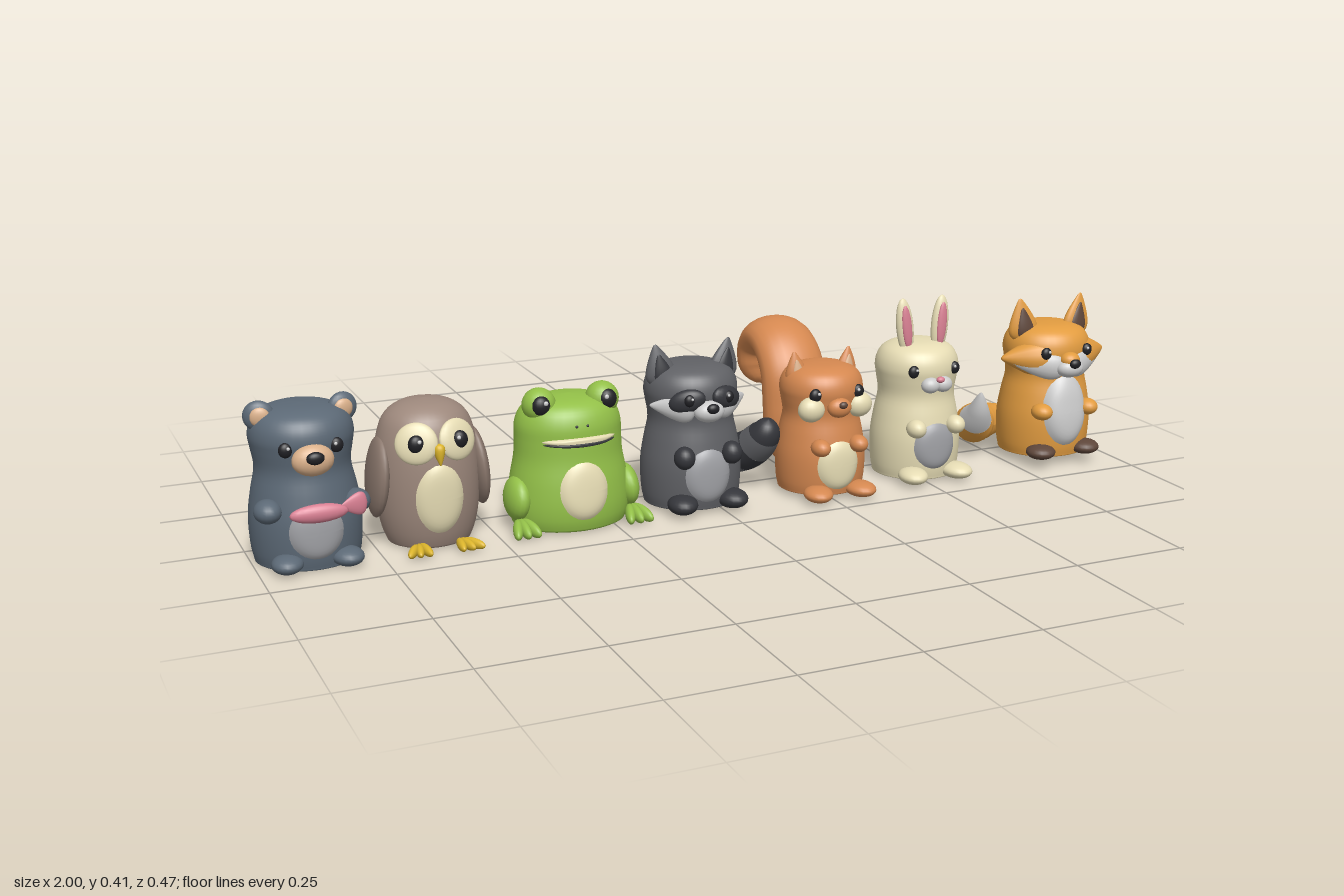
import * as THREE from 'three';

const C = {
  black: 0x202024, white: 0xc9c9c9, cream: 0xe6dcb4, grey: 0x9fa0a4,
  bear: 0x5c6976, tan: 0xdab08a, pink: 0xd87f92, owl: 0x9d887c, wing: 0x8a776c, yellow: 0xdcb52c,
  frog: 0x93c048, raccoon: 0x606165, dark: 0x35363b, squirrel: 0xd58850, fox: 0xe29c40, brown: 0x5e463a,
};
const mat = (color) => new THREE.MeshStandardMaterial({ color, side: THREE.DoubleSide });
const sphere = new THREE.SphereGeometry(1, 20, 14);
const V2 = (a) => a.map(([x, y]) => new THREE.Vector2(x, y));
const V3 = (a) => a.map((p) => new THREE.Vector3(...p));
// Pointed leaf, base at 0 and tip at y = 1
const leaf = new THREE.LatheGeometry(new THREE.SplineCurve(V2([[0, -0.15], [0.75, -0.05], [1, 0.15], [0.85, 0.42], [0.5, 0.72], [0.14, 0.97], [0, 1]])).getPoints(18), 18);

// Bodies are lathes; each row is [radius, height]
const PEAR = [[0, 0], [0.085, 0], [0.097, 0.008], [0.102, 0.05], [0.102, 0.1], [0.095, 0.15], [0.087, 0.195], [0.092, 0.235], [0.095, 0.26], [0.09, 0.285], [0.075, 0.305], [0.045, 0.317], [0, 0.32]];
const EGG = [[0, 0], [0.07, 0], [0.085, 0.012], [0.097, 0.06], [0.102, 0.12], [0.101, 0.18], [0.094, 0.23], [0.078, 0.27], [0.045, 0.293], [0, 0.3]];
const SQUAT = [[0, 0], [0.1, 0], [0.118, 0.012], [0.124, 0.05], [0.12, 0.1], [0.111, 0.15], [0.109, 0.19], [0.107, 0.225], [0.092, 0.255], [0.06, 0.272], [0, 0.278]];

class Animal {
  constructor(name, x, z, color, rows, { sx = 1.06, sy = 1, sz = 1, y = 0 } = {}) {
    Object.assign(this, { sx, sz });
    this.group = new THREE.Group();
    this.group.name = name;
    this.group.position.set(x, 0, z);
    this.pts = new THREE.SplineCurve(V2(rows)).getPoints((rows.length - 1) * 4);
    this.pts.forEach((p) => { p.x = Math.max(p.x, 0); p.y = Math.max(p.y, 0) * sy + y; });
    const body = this.add('body', color, new THREE.LatheGeometry(this.pts, 36));
    body.scale.set(sx, 1, sz);
  }
  add(name, color, geo) {
    const m = new THREE.Mesh(geo, mat(color));
    m.name = name;
    this.group.add(m);
    return m;
  }
  // Depth of the front of the body at (x, y)
  front(x, y) {
    let r = 0;
    for (let i = 1; i < this.pts.length; i++) {
      const a = this.pts[i - 1], b = this.pts[i];
      if (y >= a.y && y <= b.y && b.y > a.y) r = a.x + (b.x - a.x) * (y - a.y) / (b.y - a.y);
    }
    return this.sz * Math.sqrt(Math.max(r * r - (x / this.sx) ** 2, 0));
  }
  // Any shape by position, size and turn; z is measured from the body's front when onFace is set
  part(name, color, geo, p, s, rot = [0, 0, 0], onFace = false) {
    const m = this.add(name, color, geo);
    m.position.set(p[0], p[1], p[2] + (onFace ? this.front(p[0], p[1]) : 0));
    m.scale.set(...s);
    m.rotation.set(...rot, 'YXZ');
  }
  pair(name, color, geo, p, s, rot = [0, 0, 0], onFace = false) {
    for (const k of [1, -1]) {
      this.part((k > 0 ? 'left ' : 'right ') + name, color, geo, [k * p[0], p[1], p[2]], s, [rot[0], k * rot[1], k * rot[2]], onFace);
    }
  }
  face(name, color, p, s) { this.part(name, color, sphere, p, s, [0, 0, 0], true); }
  faces(name, color, p, s, rot) { this.pair(name, color, sphere, p, s, rot, true); }
  // Thin oval marking that follows the body
  patch(name, color, cx, cy, rx, ry, lift = 0.007) {
    const g = new THREE.RingGeometry(0, 1, 36, 8), a = g.attributes.position;
    for (let i = 0; i < a.count; i++) {
      const u = a.getX(i), v = a.getY(i), x = cx + u * rx, y = cy + v * ry;
      a.setXYZ(i, x, y, this.front(x, y) - 0.003 + (lift + 0.003) * (1 - (u * u + v * v) ** 3));
    }
    g.computeVertexNormals();
    this.add(name, color, g);
  }
  feet(color, x, z, s = [0.032, 0.019, 0.038], y = 0.02) {
    this.pair('foot', color, sphere, [x, y, z], s, [0, 0.2, 0]);
  }
  eyes(x, y, r = 0.014, z = 0) {
    this.faces('eye', C.black, [x, y, z], [r, r * 1.1, r * 0.7]);
    this.faces('eye glint', C.white, [x - r * 0.25, y + r * 0.4, z + r * 0.65], [r * 0.25, r * 0.25, r * 0.2]);
  }
}

// Tube along a curve from t0 to t1, its radius set by a rule
function taperedTube(curve, t0, t1, radius, seg = 40) {
  const sub = new THREE.Curve();
  sub.getPoint = (t) => curve.getPointAt(t0 + (t1 - t0) * t);
  const n = 22, g = new THREE.TubeGeometry(sub, seg, 1, n), a = g.attributes.position, v = new THREE.Vector3();
  for (let i = 0; i <= seg; i++) {
    const c = sub.getPointAt(i / seg), r = radius(t0 + (t1 - t0) * i / seg);
    for (let j = 0; j <= n; j++) {
      const k = i * (n + 1) + j;
      v.fromBufferAttribute(a, k).sub(c).multiplyScalar(r).add(c);
      a.setXYZ(k, v.x, v.y, v.z);
    }
  }
  g.computeVertexNormals();
  return g;
}

function bear() {
  const a = new Animal('bear', -0.885, 0.065, C.bear, PEAR, { sx: 1.1, sz: 1.08 });
  a.pair('ear', C.bear, sphere, [0.083, 0.303, 0.01], [0.031, 0.031, 0.016], [0, 0.2, 0]);
  a.pair('inner ear', C.tan, sphere, [0.083, 0.303, 0.021], [0.02, 0.02, 0.009], [0, 0.2, 0]);
  a.face('muzzle', C.tan, [0, 0.228, 0.003], [0.042, 0.032, 0.026]);
  a.face('nose', C.black, [0, 0.238, 0.026], [0.018, 0.013, 0.01]);
  a.eyes(0.05, 0.25);
  a.patch('belly', C.grey, 0, 0.08, 0.058, 0.058);
  a.faces('arm', C.bear, [0.088, 0.125, 0.008], [0.028, 0.024, 0.034]);
  a.face('fish body', C.pink, [0.0, 0.128, 0.024], [0.058, 0.019, 0.014]);
  a.part('fish tail', C.pink, leaf, [0.095, 0.13, 0.105], [0.024, 0.05, 0.008], [0, 0.2, 1.57]);
  a.face('fish eye', C.black, [-0.042, 0.132, 0.035], [0.004, 0.004, 0.004]);
  a.feet(C.bear, 0.06, 0.095);
  return a.group;
}

function owl() {
  const a = new Animal('owl', -0.63, 0.06, C.owl, EGG);
  a.pair('wing', C.wing, sphere, [0.105, 0.145, 0.005], [0.021, 0.085, 0.062], [0, 0, 0.1]);
  a.faces('eye disc', C.cream, [0.042, 0.228, -0.003], [0.044, 0.043, 0.014], [-0.25, 0.4, 0]);
  a.eyes(0.045, 0.23, 0.017, 0.009);
  a.part('beak', C.yellow, leaf, [0, 0.222, 0.098], [0.012, 0.04, 0.014], [-0.25, 0, Math.PI]);
  a.patch('belly', C.cream, 0, 0.11, 0.053, 0.078);
  for (const t of [-1, 0, 1]) a.pair('toe', C.yellow, sphere, [0.05 + t * 0.013, 0.011, 0.108], [0.009, 0.011, 0.032], [0, t * 0.3 + 0.2, 0]);
  return a.group;
}

function frog() {
  const a = new Animal('frog', -0.325, 0.07, C.frog, SQUAT, { sz: 0.86 });
  a.pair('eye bump', C.frog, sphere, [0.07, 0.265, 0.022], [0.036, 0.036, 0.036]);
  a.pair('eye', C.black, sphere, [0.073, 0.268, 0.045], [0.021, 0.022, 0.016]);
  a.pair('eye glint', C.white, sphere, [0.067, 0.276, 0.06], [0.005, 0.005, 0.003]);
  a.patch('upper lip', C.cream, 0, 0.196, 0.085, 0.009, 0.008);
  a.patch('mouth', C.dark, 0, 0.19, 0.083, 0.005, 0.01);
  a.faces('nostril', C.dark, [0.012, 0.228, 0], [0.003, 0.003, 0.003]);
  a.patch('belly', C.cream, 0, 0.09, 0.056, 0.065);
  a.pair('leg', C.frog, sphere, [0.122, 0.068, 0.02], [0.026, 0.046, 0.05], [0.3, 0, 0.1]);
  for (const t of [-1, 0, 1]) a.pair('toe', C.frog, sphere, [0.125 + t * 0.014, 0.017, 0.075], [0.011, 0.015, 0.036], [0.2, t * 0.3, 0]);
  return a.group;
}

function raccoon() {
  const a = new Animal('raccoon', -0.04, 0.065, C.raccoon, PEAR, { sx: 1.08, sz: 1.02, sy: 0.97, y: 0.008 });
  a.pair('ear', C.raccoon, leaf, [0.07, 0.283, 0.01], [0.034, 0.08, 0.017], [0, 0.1, -0.2]);
  a.pair('inner ear', C.dark, leaf, [0.07, 0.285, 0.02], [0.022, 0.058, 0.01], [0, 0.1, -0.2]);
  a.pair('cheek tuft', C.white, leaf, [0.035, 0.232, 0.082], [0.03, 0.088, 0.02], [0, 0.55, -1.5]);
  a.faces('mask', C.dark, [0.045, 0.252, 0], [0.04, 0.025, 0.016], [0, 0.4, -0.25]);
  a.eyes(0.045, 0.256, 0.012, 0.013);
  a.face('muzzle', C.white, [0, 0.228, 0.006], [0.034, 0.023, 0.026]);
  a.face('nose', C.black, [0, 0.239, 0.027], [0.014, 0.011, 0.009]);
  a.patch('belly', C.grey, 0, 0.085, 0.055, 0.062);
  a.faces('hand', C.dark, [0.055, 0.13, 0.009], [0.023, 0.025, 0.024]);
  a.feet(C.dark, 0.058, 0.092, [0.033, 0.021, 0.04], 0.026);
  // Ringed tail curling round to the left
  const path = new THREE.CatmullRomCurve3(V3([[-0.03, 0.06, -0.115], [0.05, 0.06, -0.115], [0.12, 0.065, -0.085], [0.157, 0.09, -0.03], [0.172, 0.135, 0.015], [0.175, 0.172, 0.03]]));
  const r = (t) => 0.044 * Math.sqrt(Math.max(0, 1 - (2 * t - 1) ** 4));
  for (let i = 0; i < 8; i++) a.add('tail ring', i % 2 ? C.dark : C.raccoon, taperedTube(path, i / 8, (i + 1) / 8, r, 10));
  return a.group;
}

function squirrel() {
  const a = new Animal('squirrel', 0.26, 0.1, C.squirrel, PEAR, { sx: 0.98, sz: 0.95, sy: 0.88, y: 0.01 });
  a.pair('ear', C.squirrel, leaf, [0.06, 0.258, 0.0], [0.025, 0.062, 0.015], [0, 0.1, -0.12]);
  a.pair('inner ear', C.tan, leaf, [0.06, 0.26, 0.009], [0.015, 0.044, 0.008], [0, 0.1, -0.12]);
  a.faces('cheek', C.cream, [0.058, 0.205, 0.004], [0.031, 0.028, 0.024]);
  a.face('muzzle', C.squirrel, [0, 0.208, 0.002], [0.028, 0.022, 0.019]);
  a.face('nose', C.brown, [0, 0.218, 0.019], [0.01, 0.008, 0.007]);
  a.eyes(0.052, 0.237, 0.014);
  a.patch('belly', C.cream, 0, 0.078, 0.053, 0.058);
  a.faces('hand', C.squirrel, [0.046, 0.123, 0.01], [0.021, 0.019, 0.026]);
  a.feet(C.squirrel, 0.052, 0.096, [0.032, 0.017, 0.04]);
  // Broad tail arching backwards
  const path = new THREE.CatmullRomCurve3(V3([[0, 0.015, -0.1], [0, 0.08, -0.123], [0, 0.16, -0.127], [0, 0.24, -0.14], [0, 0.29, -0.185], [0, 0.3, -0.24], [0, 0.268, -0.284], [0, 0.22, -0.292], [0, 0.174, -0.272]]));
  const r = (t) => (0.044 + 0.008 * Math.sin(Math.PI * t) - 0.008 * t) * Math.sqrt(Math.max(0, 1 - Math.max(0, (t - 0.88) / 0.12) ** 2)) * Math.min(1, Math.sqrt(t * 8));
  a.add('tail', C.squirrel, taperedTube(path, 0, 1, r, 64)).scale.x = 1.6;
  return a.group;
}

function rabbit() {
  const a = new Animal('rabbit', 0.52, 0.07, C.cream, PEAR, { sx: 1.0, sz: 0.98, sy: 0.96, y: 0.004 });
  a.pair('ear', C.cream, sphere, [0.045, 0.345, 0.02], [0.021, 0.067, 0.013], [-0.05, 0, -0.1]);
  a.pair('inner ear', C.pink, sphere, [0.045, 0.347, 0.03], [0.012, 0.05, 0.006], [-0.05, 0, -0.1]);
  a.faces('muzzle', C.white, [0.016, 0.225, 0.003], [0.022, 0.018, 0.018]);
  a.face('nose', C.pink, [0, 0.24, 0.015], [0.01, 0.007, 0.008]);
  a.eyes(0.052, 0.256, 0.013);
  a.patch('belly', C.grey, 0, 0.083, 0.055, 0.056);
  a.faces('hand', C.cream, [0.05, 0.128, 0.01], [0.022, 0.021, 0.026]);
  a.feet(C.cream, 0.056, 0.095, [0.033, 0.018, 0.042]);
  a.part('tail', C.white, sphere, [0, 0.06, -0.108], [0.031, 0.031, 0.031]);
  return a.group;
}

function fox() {
  const a = new Animal('fox', 0.86, 0.083, C.fox, PEAR, { sx: 1.07, sy: 0.95, y: 0.02 });
  a.pair('ear', C.fox, leaf, [0.07, 0.298, 0.01], [0.036, 0.087, 0.015], [0, 0.1, -0.15]);
  a.pair('inner ear', C.brown, leaf, [0.07, 0.3, 0.018], [0.023, 0.064, 0.01], [0, 0.1, -0.15]);
  a.pair('cheek', C.fox, leaf, [0.03, 0.25, 0.048], [0.045, 0.11, 0.045], [0, 0.2, -1.55]);
  a.pair('cheek tuft', C.white, leaf, [0.02, 0.234, 0.085], [0.032, 0.118, 0.02], [0, 0.42, -1.45]);
  a.face('muzzle', C.white, [0, 0.233, 0.008], [0.034, 0.022, 0.025]);
  a.face('muzzle bridge', C.fox, [0, 0.252, 0.004], [0.024, 0.018, 0.022]);
  a.face('nose', C.black, [0, 0.247, 0.028], [0.014, 0.011, 0.009]);
  a.eyes(0.055, 0.268, 0.013, 0.004);
  a.patch('bib', C.white, 0, 0.13, 0.06, 0.085, 0.012);
  a.faces('hand', C.fox, [0.062, 0.132, 0.006], [0.024, 0.019, 0.027]);
  a.feet(C.brown, 0.06, 0.088, [0.034, 0.017, 0.034], 0.036);
  // Tail sweeping round to the right, with a pale tip
  const path = new THREE.CatmullRomCurve3(V3([[0.035, 0.05, -0.135], [-0.04, 0.056, -0.138], [-0.11, 0.062, -0.112], [-0.15, 0.078, -0.06], [-0.168, 0.12, -0.015], [-0.178, 0.172, 0.01]]));
  const r = (t) => Math.min(0.022 + 0.06 * t, 0.046) * Math.sqrt(Math.min(1, t * 14)) * Math.min(1, Math.max(0, (1 - t) / 0.36) ** 0.75);
  a.add('tail', C.fox, taperedTube(path, 0, 0.72, r));
  a.add('tail tip', C.white, taperedTube(path, 0.72, 1, r, 20));
  return a.group;
}

export function createModel() {
  const model = new THREE.Group();
  model.name = 'row of animals';
  model.add(bear(), owl(), frog(), raccoon(), squirrel(), rabbit(), fox());
  return model;
}
